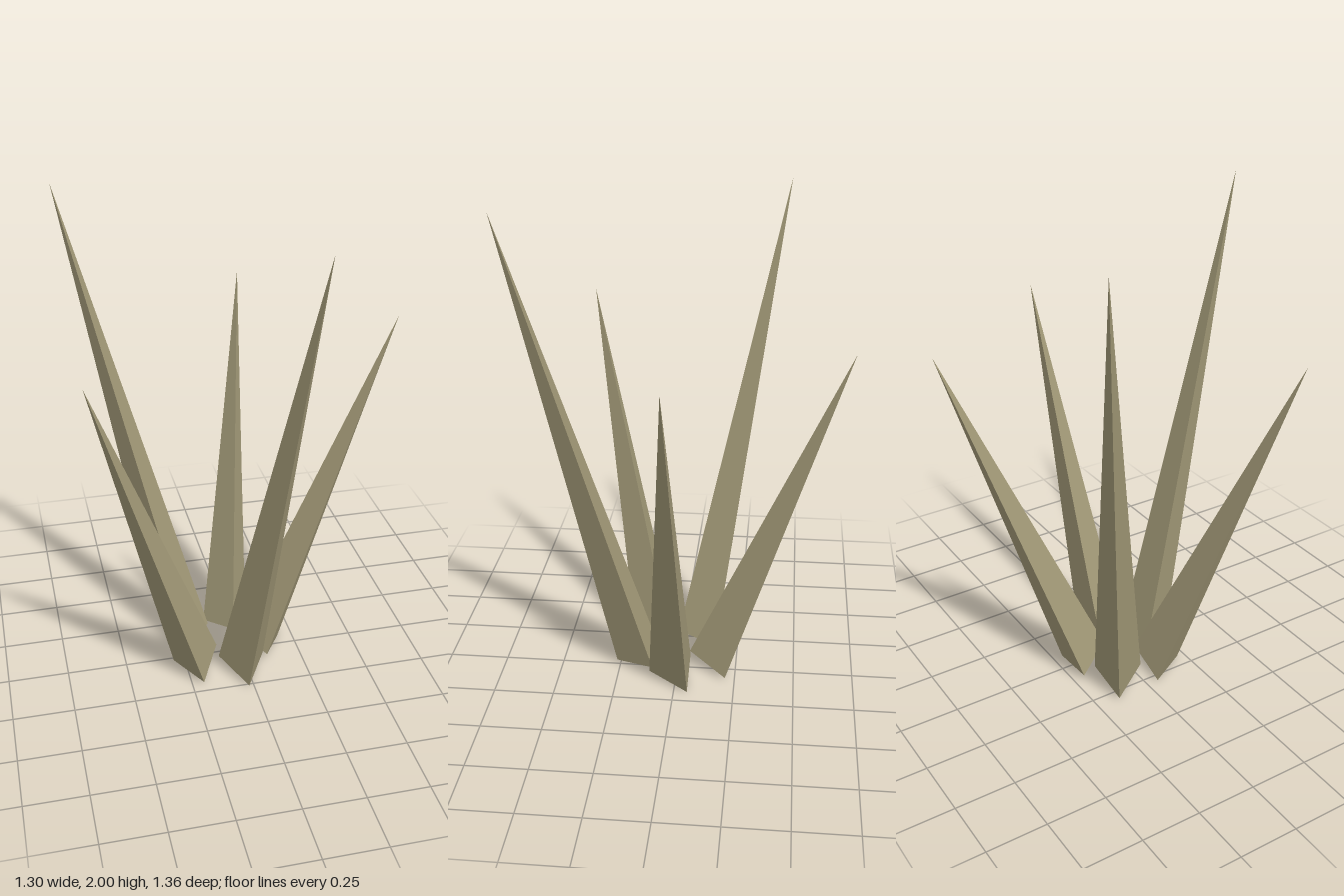
import * as THREE from 'three';

export function createModel() {
  const group = new THREE.Group();
  group.name = 'spikeCluster';
  const material = new THREE.MeshStandardMaterial({ color: 0xa39a78, flatShading: true });
  const up = new THREE.Vector3(0, 1, 0);
  const centerX = -0.071, baseRing = 0.166, tipRing = 0.716, baseY = 0.036;
  const tipHeights = [1.5, 2, 1.5, 2, 1.5];

  // Five three-sided spikes in a ring, each leaning outward
  tipHeights.forEach((tipY, i) => {
    const angle = (i * Math.PI * 2) / 5;
    const onRing = (r, y) =>
      new THREE.Vector3(centerX + r * Math.cos(angle), y, r * Math.sin(angle));
    const base = onRing(baseRing, baseY);
    const axis = onRing(tipRing, tipY).sub(base);
    const length = axis.length();

    // Pivot at the centre of the base so the spike tilts about its foot
    const geometry = new THREE.ConeGeometry(0.1126, length, 3).translate(0, length / 2, 0);
    const spike = new THREE.Mesh(geometry, material);
    spike.name = `spike${i + 1}`;
    spike.position.copy(base);
    spike.quaternion.setFromUnitVectors(up, axis.normalize());
    group.add(spike);
  });

  return group;
}
